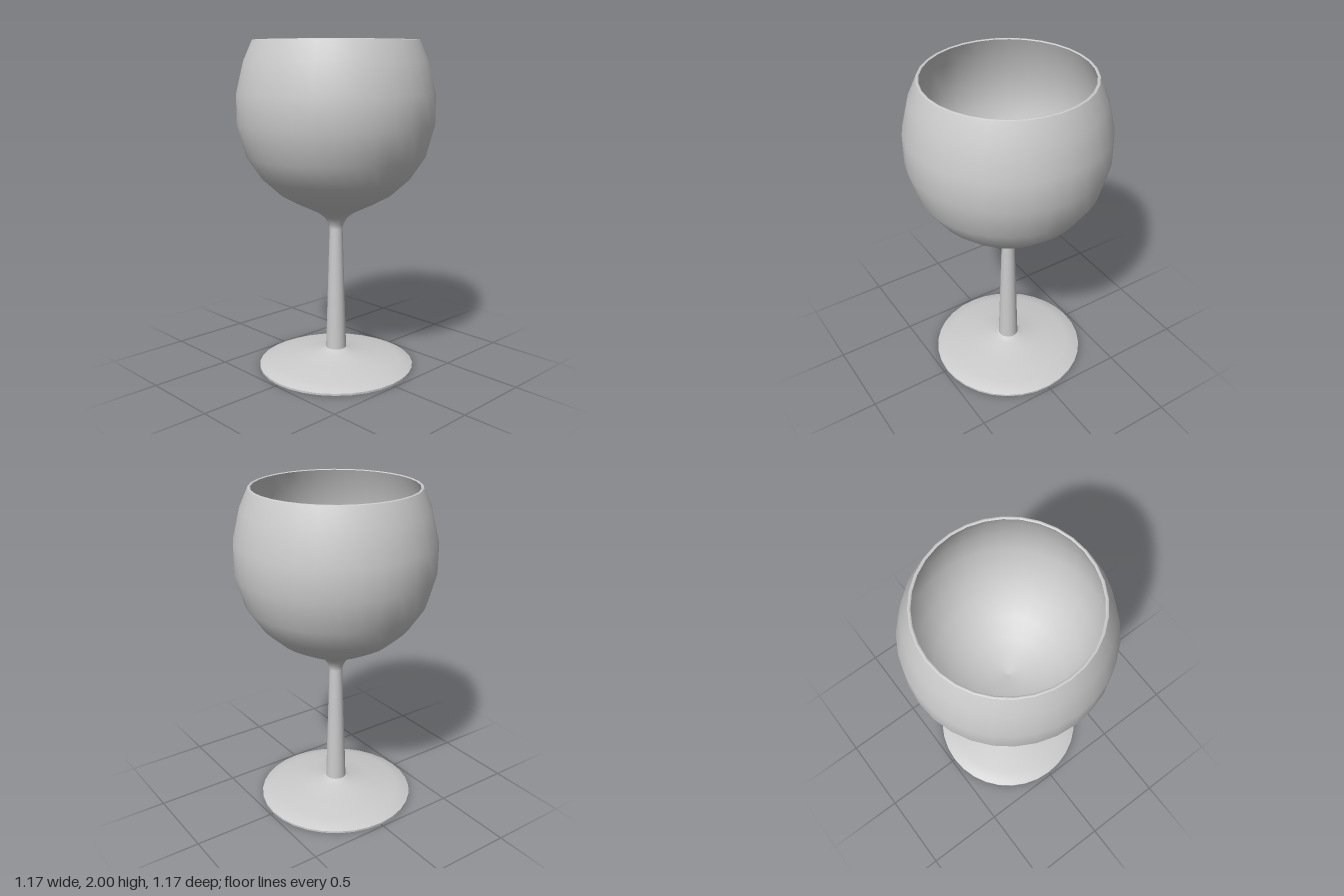
import * as THREE from 'three';

const SIDES = 32;

export function createModel() {
  const model = new THREE.Group();
  const material = new THREE.MeshStandardMaterial({ color: 0xcccccc });

  // Turn a profile of [radius, height] pairs around the y axis
  function turned(name, profile) {
    const points = profile.map(([r, y]) => new THREE.Vector2(r, y));
    const mesh = new THREE.Mesh(new THREE.LatheGeometry(points, SIDES), material);
    mesh.name = name;
    model.add(mesh);
  }

  // Underside of the foot, slightly hollow
  turned('footUnderside', [[0, 0.02], [0.24, 0.01], [0.48, 0]]);

  // Thin rim of the foot
  turned('footEdge', [[0.48, 0], [0.48, 0.012]]);

  // Sloping top of the foot, rising to a small collar
  turned('footTop', [
    [0.48, 0.012], [0.45, 0.025], [0.395, 0.043], [0.25, 0.066],
    [0.105, 0.09], [0.063, 0.113],
  ]);

  // Tapered stem flaring into the outside of the bowl
  turned('stemAndBowl', [
    [0.063, 0.113], [0.04, 0.875], [0.047, 0.905], [0.07, 0.945], [0.115, 0.98],
    [0.23, 1.035], [0.34, 1.095], [0.445, 1.19], [0.535, 1.325],
    [0.587, 1.515], [0.587, 1.695], [0.542, 1.88], [0.49, 1.997],
  ]);

  // Narrow rounded lip
  turned('lip', [[0.49, 1.997], [0.485, 2], [0.479, 2], [0.474, 1.996]]);

  // Inside of the bowl
  turned('bowlInside', [
    [0.474, 1.996], [0.526, 1.875], [0.57, 1.693], [0.57, 1.518],
    [0.519, 1.334], [0.433, 1.204], [0.331, 1.111], [0.223, 1.053],
    [0.11, 1.015], [0, 1.0],
  ]);

  return model;
}
